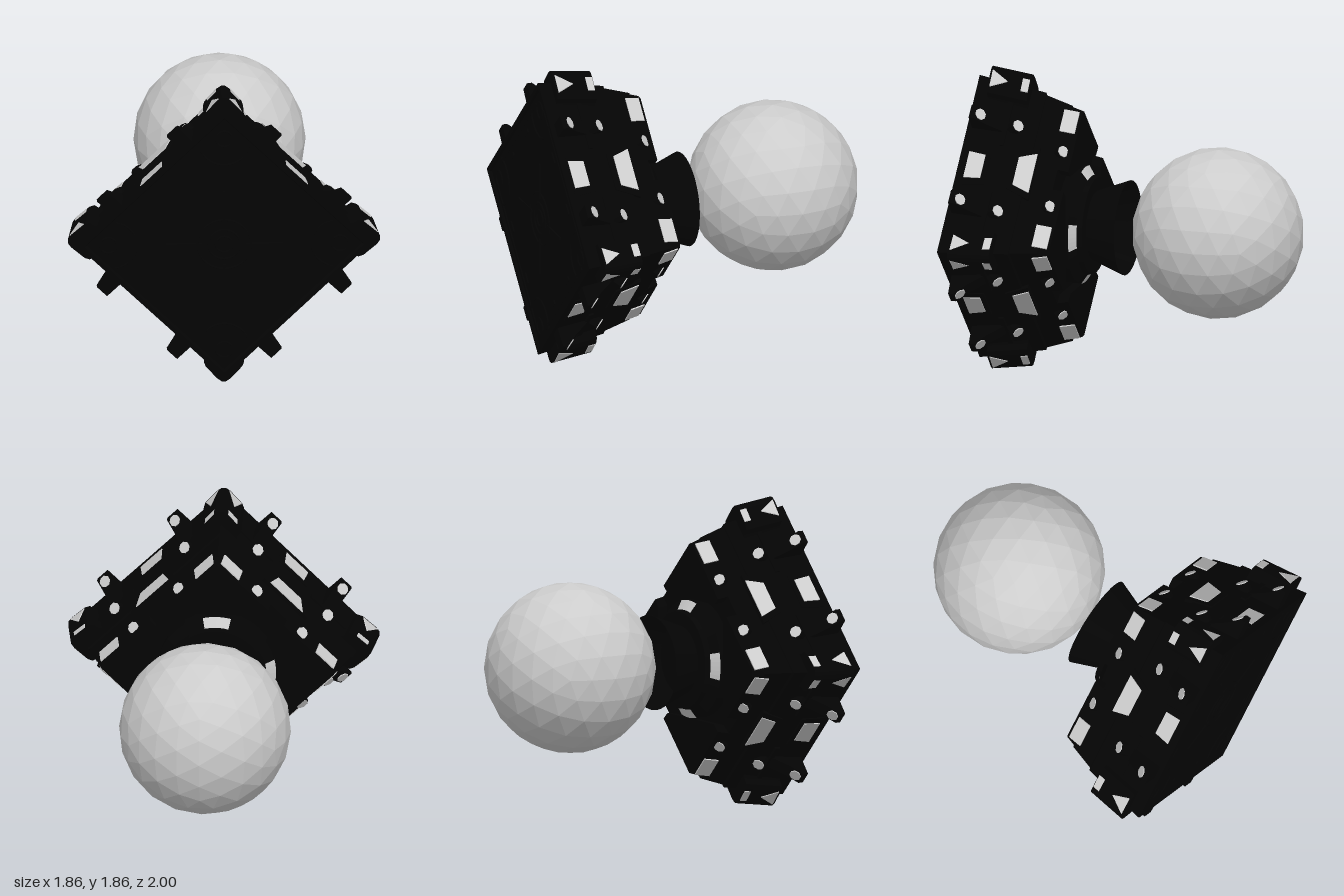
import * as THREE from 'three';

const dark = new THREE.MeshStandardMaterial({ color: 0x040404 });
dark.name = 'blackHull';
const darkOpen = new THREE.MeshStandardMaterial({ color: 0x040404, side: THREE.DoubleSide });
darkOpen.name = 'blackNozzle';
const pale = new THREE.MeshStandardMaterial({ color: 0xcccccc });
pale.name = 'paleGrey';

// faceted normals
function flat(geo) {
  const g = geo.index ? geo.toNonIndexed() : geo;
  g.computeVertexNormals();
  return g;
}

function add(parent, name, geo, mat) {
  const m = new THREE.Mesh(geo, mat);
  m.name = name;
  parent.add(m);
  return m;
}

const shapeOf = pts => new THREE.Shape(pts.map(p => new THREE.Vector2(p[0], p[1])));
const extrude = (pts, depth) =>
  new THREE.ExtrudeGeometry(shapeOf(pts), { depth, bevelEnabled: false });

// outline in xy, extruded from z0 to z1
const slab = (pts, z0, z1) => extrude(pts, z1 - z0).translate(0, 0, z0);

// profile of [radius, z], turned about the z axis
const turned = (pts, segs, start = 0, sweep = Math.PI * 2) =>
  new THREE.LatheGeometry(pts.map(p => new THREE.Vector2(p[0], p[1])), segs, start, sweep).rotateX(Math.PI / 2);

// move every vertex by a rule
function mapped(geo, rule) {
  const p = geo.attributes.position;
  for (let i = 0; i < p.count; i++) p.setXYZ(i, ...rule(p.getX(i), p.getY(i), p.getZ(i)));
  return flat(geo);
}

const octagon = r => Array.from({ length: 8 }, (_, i) => {
  const a = (i + 0.5) * Math.PI / 4;
  return [r * Math.cos(a), r * Math.sin(a)];
});

const rect = (cx, cy, w, h) =>
  [[cx - w, cy - h], [cx + w, cy - h], [cx + w, cy + h], [cx - w, cy + h]];

// distance of the sloping hull side from the axis at depth z
const sideAt = z => (z < 0.53
  ? 0.708 + (z - 0.36) * 0.32
  : 0.785 + (z - 0.535) * 0.183) / Math.SQRT2;

// plate lying on a hull side; its outline is [across, z]
function sidePlate(parent, name, pts, mat, lift, thick) {
  add(parent, name, mapped(extrude(pts, thick),
    (v, z, d) => [sideAt(z) + lift - thick + d, v, z]), mat);
}

// eight-sided plate facing halfway between outward and backward
function tiltedDisc(parent, name, [u, v, z], r, thick, mat) {
  const k = Math.SQRT1_2;
  add(parent, name, mapped(extrude(octagon(r), thick).translate(0, 0, -thick),
    (a, b, d) => [u + (b + d) * k, v + a, z + (b - d) * k]), mat);
}

function tiltedLamp(parent, name, [u, v, z]) {
  tiltedDisc(parent, name + 'Boss', [u - 0.004, v, z + 0.004], 0.043, 0.07, dark);
  tiltedDisc(parent, name, [u, v, z], 0.036, 0.008, pale);
}

function buildSide() {
  const g = new THREE.Group();
  g.name = 'hullSide';
  // centre windows on raised pads
  sidePlate(g, 'lowerPad', [[-0.12, 0.82], [0.12, 0.82], [0.14, 0.96], [-0.14, 0.96]], dark, 0.005, 0.03);
  sidePlate(g, 'lowerWindow', [[-0.08, 0.85], [0.08, 0.85], [0.09, 0.95], [-0.09, 0.95]], pale, 0.01, 0.008);
  sidePlate(g, 'middlePad', [[-0.18, 0.54], [0.18, 0.54], [0.12, 0.69], [-0.12, 0.69]], dark, 0.008, 0.03);
  sidePlate(g, 'middleWindow', [[-0.135, 0.545], [0.135, 0.545], [0.095, 0.65], [-0.095, 0.65]], pale, 0.014, 0.008);
  for (const s of [-1, 1]) {
    // end windows near the back
    sidePlate(g, 'upperWindow', rect(s * 0.4, 0.415, 0.075, 0.045), pale, 0.008, 0.008);
    // round lamps
    tiltedLamp(g, 'upperLamp', [0.525, s * 0.19, 0.405]);
    tiltedLamp(g, 'middleLamp', [0.608, s * 0.295, 0.69]);
    sidePlate(g, 'sideRib', rect(s * 0.32, 0.775, 0.16, 0.015), dark, 0.01, 0.03);
    // projecting peg with a lamp on its slanted tip
    const peg = extrude([[0.5, 0.74], [0.6, 0.78], [0.665, 0.865],
      [0.735, 0.935], [0.735, 0.965], [0.5, 0.975]], 0.086);
    add(g, 'sidePeg', flat(peg.rotateX(Math.PI / 2).translate(0, s * 0.295 + 0.043, 0)), dark);
    tiltedDisc(g, 'pegLamp', [0.711, s * 0.295, 0.903], 0.036, 0.008, pale);
    // slots on the front face
    add(g, 'frontSlot', flat(slab(rect(0.49, s * 0.17, 0.012, 0.035), 0.98, 0.993)), dark);
  }
  add(g, 'frontTrim', flat(slab(rect(0.545, 0, 0.008, 0.46), 0.98, 0.992)), dark);
  return g;
}

function buildCorner() {
  const g = new THREE.Group();
  g.name = 'hullCorner';
  // raised block on the back
  add(g, 'backBlock', mapped(slab([[0.36, -0.26], [0.40, -0.305], [0.69, -0.018], [0.69, 0.018],
    [0.40, 0.305], [0.36, 0.26]], 0.355, 0.44),
  (x, y, z) => { const k = 1 + (z - 0.355) * 0.46; return [x * k, y * k, z]; }), dark);
  // corner bumper, drawn in toward the back
  const taper = z => (0.92 - z) * 0.14;
  add(g, 'cornerBumper', mapped(slab([[0.6, -0.08], [0.77, -0.10], [0.80, -0.12], [0.83, -0.11], [0.91, -0.04],
    [0.93, -0.012], [0.93, 0.012], [0.91, 0.04], [0.83, 0.11], [0.80, 0.12], [0.77, 0.10], [0.6, 0.08]], 0.67, 0.92),
  (x, y, z) => [x - taper(z), y, z]), dark);
  // marker plates on both bumper faces
  for (const s of [-1, 1]) {
    const onFace = (t, z, d) => [0.906 - (Math.abs(t) - 0.04) * 1.14 - taper(z) + d, t, z];
    const tri = [[s * 0.033, 0.908], [s * 0.107, 0.908], [s * 0.07, 0.805]];
    add(g, 'bumperTriangle', mapped(extrude(tri, 0.009), onFace), pale);
    add(g, 'bumperSquare', mapped(extrude(rect(s * 0.07, 0.695, 0.027, 0.022), 0.009), onFace), pale);
  }
  // curved lamp set into the neck collar
  add(g, 'neckLamp', flat(turned([[0.299, 0.306], [0.354, 0.342]], 6, Math.PI / 2 - 0.24, 0.48)), pale);
  // front face relief
  add(g, 'frontSpoke', flat(slab(rect(0.24, 0, 0.11, 0.008), 0.98, 0.995)), dark);
  add(g, 'frontDisc', new THREE.TorusGeometry(0.05, 0.007, 6, 24).translate(0.69, 0, 0.987), dark);
  add(g, 'frontArc', new THREE.TorusGeometry(0.15, 0.007, 6, 24, Math.PI * 0.9)
    .rotateZ(Math.PI * 0.55).translate(0.67, 0, 0.987), dark);
  return g;
}

export function createModel() {
  const model = new THREE.Group();
  model.name = 'poweredPod';
  const pod = new THREE.Group();
  pod.name = 'pod';
  pod.position.y = 0.93;
  model.add(pod);

  // four-sided hull with a rimmed front
  add(pod, 'hull', flat(turned([[0, 0.42], [0.725, 0.42], [0.777, 0.58], [0.793, 0.585],
    [0.87, 1], [0.835, 1], [0.82, 0.985], [0, 0.985]], 4)), dark);
  for (let i = 0; i < 4; i++) {
    const corner = buildCorner();
    corner.rotation.z = i * Math.PI / 2;
    const side = buildSide();
    side.rotation.z = (i + 0.5) * Math.PI / 2;
    pod.add(corner, side);
  }

  // neck collar and flared nozzle
  add(pod, 'neck', flat(turned([[0, 0.275], [0.292, 0.275], [0.298, 0.31],
    [0.354, 0.347], [0.354, 0.44]], 32)), dark);
  add(pod, 'nozzle', turned([[0.285, 0.077], [0.205, 0.285]], 32), darkOpen);

  // rings at the centre of the front
  for (const r of [0.05, 0.095, 0.16]) {
    add(pod, 'frontRing', new THREE.TorusGeometry(r, 0.007, 6, 40).translate(0, 0, 0.987), dark);
  }

  // faceted ball behind the nozzle
  const ball = add(model, 'ball', flat(new THREE.IcosahedronGeometry(0.513, 3)), pale);
  ball.position.set(0.01, 0.945, -0.488);
  return model;
}
